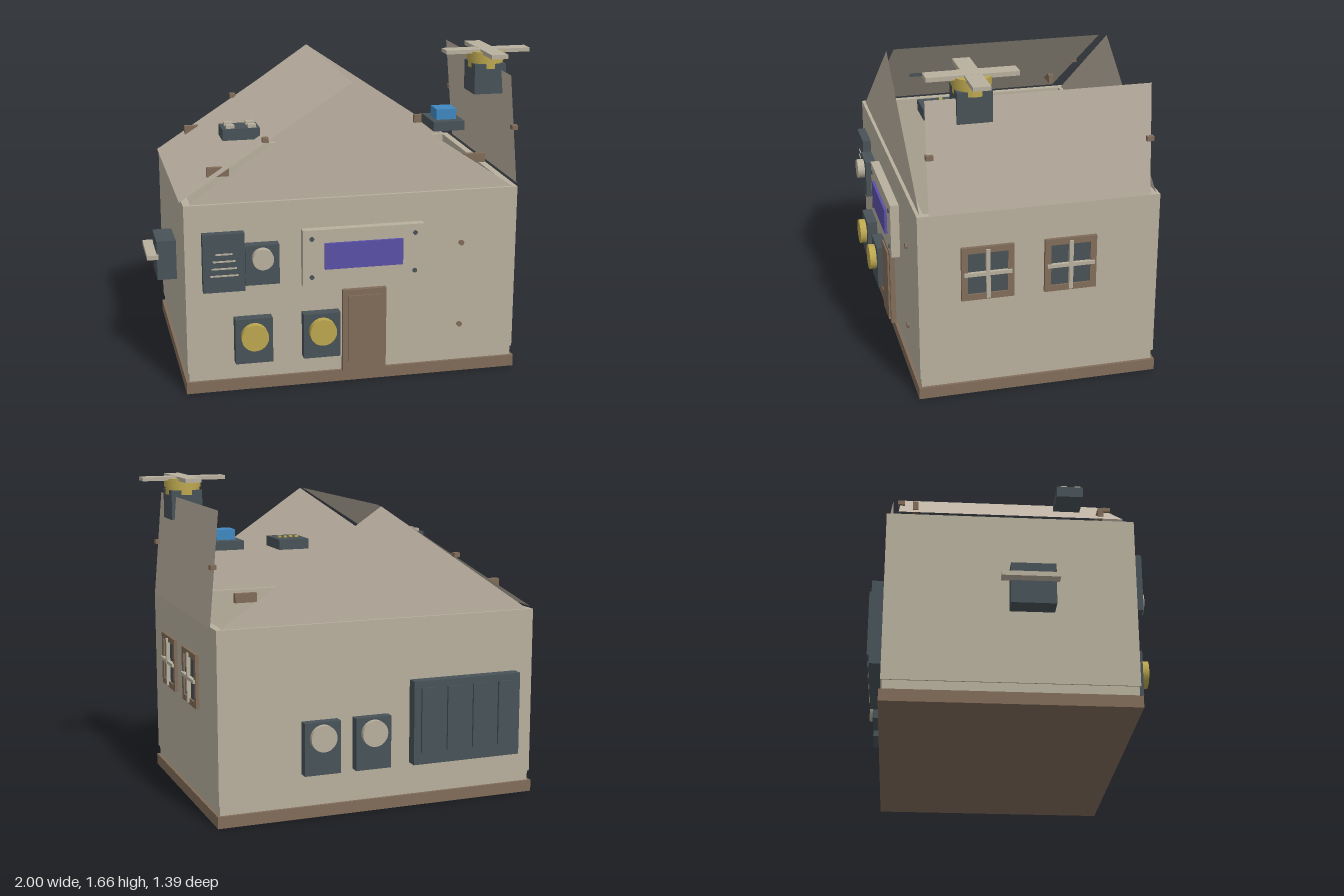
import * as THREE from 'three';

const mat = (name, color, side = THREE.FrontSide) => {
  const m = new THREE.MeshStandardMaterial({ color, side });
  m.name = name;
  return m;
};

export function createModel() {
  const model = new THREE.Group();
  model.name = 'house';
  const wall = mat('wallBeige', 0xb8b09e);
  const sheet = mat('roofBeige', 0xbcb1a2, THREE.DoubleSide);
  const brown = mat('woodBrown', 0x816c59);
  const dark = mat('slateGrey', 0x485257);
  const yellow = mat('mustardYellow', 0xbca74f);
  const purple = mat('displayPurple', 0x5a50a8);
  const blue = mat('sensorBlue', 0x3f88c0);

  const add = (name, geometry, material) => {
    const mesh = new THREE.Mesh(geometry, material);
    mesh.name = name;
    model.add(mesh);
    return mesh;
  };
  // Box given by its extents on each axis
  const box = (name, m, x0, x1, y0, y1, z0, z1) =>
    add(name, new THREE.BoxGeometry(x1 - x0, y1 - y0, z1 - z0), m)
      .position.set((x0 + x1) / 2, (y0 + y1) / 2, (z0 + z1) / 2);
  // Disc along z
  const knob = (name, m, x, y, r, z0, z1, sides = 24) =>
    add(name, new THREE.CylinderGeometry(r, r, z1 - z0, sides).rotateX(Math.PI / 2), m)
      .position.set(x, y, (z0 + z1) / 2);
  // Thin sheet from corner points in order
  const plate = (name, points) => {
    const g = new THREE.BufferGeometry();
    g.setAttribute('position', new THREE.Float32BufferAttribute(points.flat(), 3));
    g.setIndex(points.length === 3 ? [0, 1, 2] : [0, 1, 2, 0, 2, 3]);
    g.computeVertexNormals();
    add(name, g, sheet);
  };

  // Base, floor slab and four hollow walls
  box('base', brown, -0.855, 0.875, 0, 0.06, -0.627, 0.605);
  box('floor', wall, -0.84, 0.86, 0.06, 0.11, -0.612, 0.59);
  box('frontWall', wall, -0.847, 0.867, 0.11, 0.985, 0.56, 0.597);
  box('backWall', wall, -0.847, 0.867, 0.11, 0.985, -0.62, -0.585);
  box('leftWall', wall, 0.83, 0.867, 0.11, 0.985, -0.585, 0.56);
  box('rightWall', wall, -0.847, -0.81, 0.11, 0.985, -0.585, 0.56);

  // Gables, closed roof panel and raised roof panel
  for (const [name, z] of [['frontGable', 0.58], ['backGable', -0.605]])
    plate(name, [[-0.82, 0.985, z], [0.845, 0.985, z], [0.01, 1.548, z]]);
  plate('closedRoofPanel', [[-0.86, 0.99, 0.542], [0.01, 1.552, 0.542], [0.01, 1.552, -0.562], [-0.86, 0.99, -0.562]]);
  plate('raisedRoofPanel', [[0.88, 0.99, 0.542], [0.88, 0.99, -0.562], [0.83, 1.552, -0.562], [0.83, 1.552, 0.542]]);

  // Roof brackets and hinge tabs
  for (const z of [-0.48, 0.455])
    for (const x of [-0.655, 0.675])
      box('roofBracket', brown, x - 0.056, x + 0.056, 1.09, 1.136, z - 0.014, z + 0.014);
  for (const z of [-0.555, 0.53])
    for (const x of [-0.427, 0.86])
      box('roofTab', brown, x - 0.015, x + 0.015, 1.27, 1.293, z - 0.018, z + 0.018);

  // Door
  box('doorFrame', brown, -0.053, 0.174, 0.06, 0.5, 0.597, 0.624);
  box('doorPanel', brown, -0.027, 0.15, 0.072, 0.47, 0.624, 0.633);

  // Sign with display and corner screws
  box('signBoard', wall, -0.263, 0.361, 0.543, 0.835, 0.597, 0.643);
  box('display', purple, -0.153, 0.25, 0.63, 0.766, 0.643, 0.657);
  for (const x of [-0.218, 0.315])
    for (const y of [0.59, 0.79]) knob('signScrew', dark, x, y, 0.012, 0.643, 0.648, 12);
  for (const y of [0.26, 0.705]) knob('wallScrew', brown, 0.573, y, 0.014, 0.597, 0.608, 12);

  // Speaker with slots, and round sensor beside it
  box('speakerBox', dark, -0.763, -0.554, 0.545, 0.845, 0.597, 0.642);
  [0.043, 0.056, 0.063, 0.07].forEach((w, i) =>
    box('speakerSlot', wall, -0.658 - w, -0.658 + w, 0.738 - i * 0.037, 0.746 - i * 0.037, 0.642, 0.646));
  box('sensorBox', dark, -0.554, -0.383, 0.575, 0.78, 0.597, 0.655);
  knob('sensorDial', wall, -0.47, 0.716, 0.053, 0.655, 0.693);

  // Yellow button units
  for (const x of [-0.515, -0.167]) {
    box('buttonBox', dark, x - 0.095, x + 0.095, 0.16, 0.396, 0.597, 0.653);
    knob('button', yellow, x, 0.306, 0.069, 0.653, 0.689);
  }

  // Windows on the left wall
  for (const z of [0.255, -0.163]) {
    for (const s of [-1, 1]) {
      box('windowJamb', brown, 0.867, 0.885, 0.525, 0.806, z + s * 0.116 - 0.016, z + s * 0.116 + 0.016);
      const y = 0.6655 + s * 0.1245;
      box('windowRail', brown, 0.867, 0.885, y - 0.016, y + 0.016, z - 0.1, z + 0.1);
    }
    box('windowPane', dark, 0.867, 0.876, 0.541, 0.79, z - 0.1, z + 0.1);
    box('windowBar', wall, 0.876, 0.896, 0.535, 0.793, z - 0.01, z + 0.01);
    box('windowBar', wall, 0.876, 0.895, 0.656, 0.674, z - 0.12, z + 0.12);
  }

  // Side motor with lever on the right wall
  box('sideMotor', dark, -0.948, -0.847, 0.476, 0.686, -0.02, 0.198);
  box('sideLever', wall, -1.0, -0.94, 0.592, 0.616, -0.067, 0.213);

  // Back panel with four raised strips, and two dial units
  box('backPanel', dark, -0.747, -0.147, 0.23, 0.665, -0.68, -0.62);
  for (let i = 0; i < 4; i++) {
    const x = -0.658 + i * 0.145;
    box('backStrip', dark, x - 0.038, x + 0.038, 0.295, 0.63, -0.692, -0.68);
  }
  for (const x of [0.07, 0.343]) {
    box('backDialBox', dark, x - 0.095, x + 0.095, 0.23, 0.5, -0.67, -0.62);
    knob('backDial', wall, x, 0.42, 0.068, -0.695, -0.67);
  }

  // Studded block above the closed roof
  box('studBlock', dark, -0.617, -0.427, 1.25, 1.308, 0.246, 0.382);
  for (const x of [-0.575, -0.465])
    for (const z of [0.285, 0.355])
      box('stud', wall, x - 0.021, x + 0.021, 1.308, 1.325, z - 0.017, z + 0.017);

  // Pin block inside the gable
  box('pinBlock', dark, 0.09, 0.26, 1.245, 1.3, 0.22, 0.44);
  for (let i = 0; i < 4; i++) {
    const x = 0.127 + i * 0.032;
    box('pin', yellow, x - 0.009, x + 0.009, 1.3, 1.309, 0.315, 0.333);
  }

  // Block with blue sensor
  box('blueSensorBase', dark, 0.461, 0.625, 1.257, 1.305, 0.22, 0.44);
  box('blueSensor', blue, 0.49, 0.595, 1.305, 1.36, 0.284, 0.39);

  // Fan: motor, stepped hub and crossed blades
  box('fanMotor', dark, 0.688, 0.854, 1.43, 1.585, 0.222, 0.394);
  const hub = (r, y0, y1) => add('fanHub', new THREE.CylinderGeometry(r, r, y1 - y0, 24), yellow)
    .position.set(0.772, (y0 + y1) / 2, 0.307);
  hub(0.09, 1.56, 1.6);
  hub(0.097, 1.6, 1.645);
  box('fanBlade', wall, 0.548, 0.996, 1.635, 1.655, 0.264, 0.35);
  box('fanBlade', wall, 0.729, 0.815, 1.634, 1.656, 0.083, 0.531);

  return model;
}
